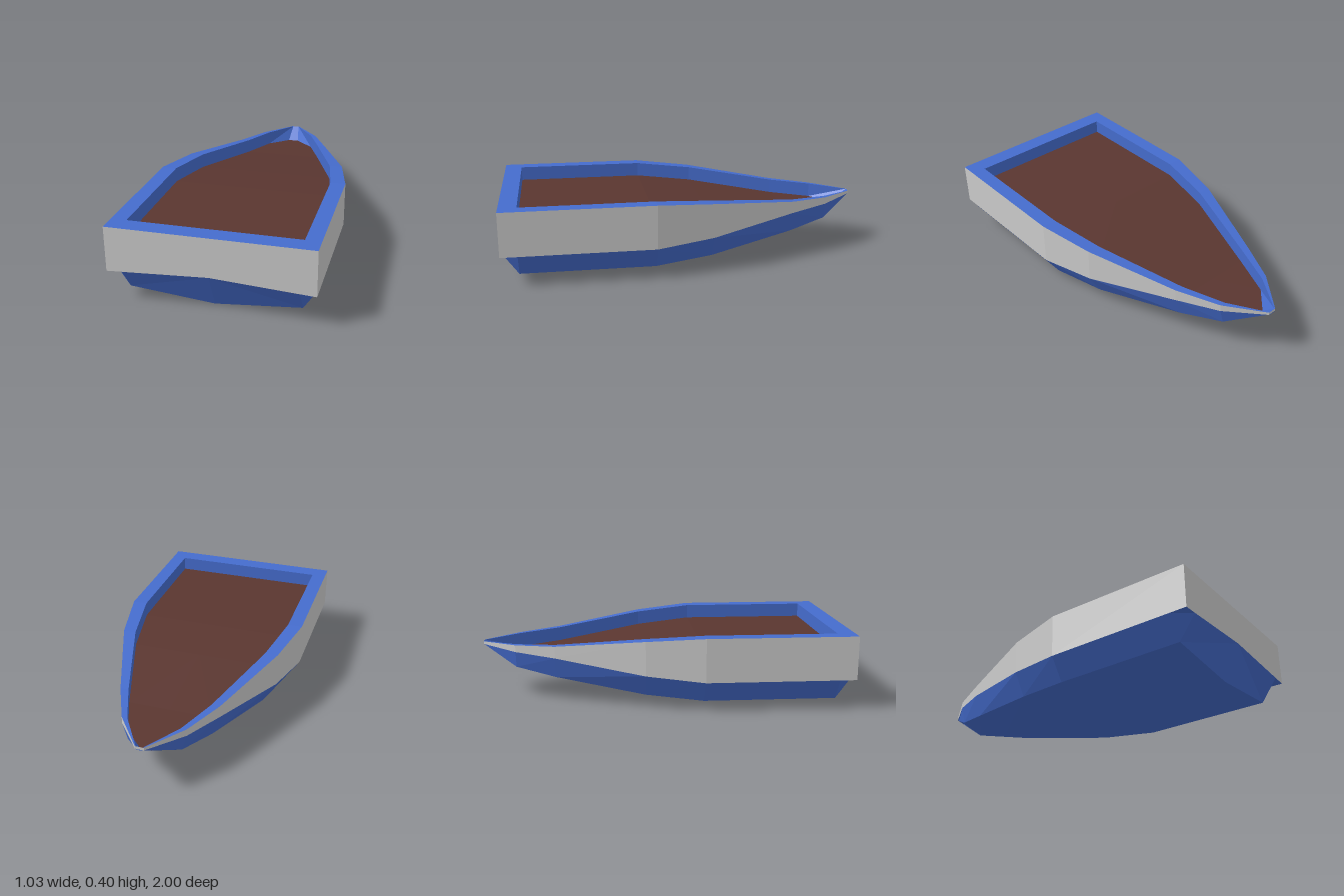
import * as THREE from 'three';

const BLUE = 0x456ccd, BROWN = 0x5a3630, GREY = 0xcccccc;

// Stations from midship to bow:
// [z, half beam, inner half beam, rim y, band bottom y, chine y, keel y]
const STATIONS = [
  [0.2, 0.515, 0.435, 0.395, 0.16, 0.04, 0],
  [-0.11, 0.45, 0.38, 0.37, 0.185, 0.065, 0.03],
  [-0.59, 0.27, 0.225, 0.31, 0.245, 0.13, 0.09],
  [-0.81, 0.17, 0.14, 0.298, 0.26, 0.17, 0.13],
];
const FLOOR_DROP = 0.078;
const along = (fn) => STATIONS.map(([z, w, inner, top, band, chine, keel]) =>
  fn({ z, w, inner, top, band, chine, keel }));

// Skins neighbouring rows of points (stern to bow, +x side) and mirrors them
function skin(name, color, ...rows) {
  const pos = [];
  const tri = (...pts) => {
    const [a, b, c] = pts.map((p) => new THREE.Vector3(...p));
    if (b.clone().sub(a).cross(c.clone().sub(a)).length() < 1e-7) return;
    pos.push(...pts.flat());
    for (const [x, y, z] of [pts[0], pts[2], pts[1]]) pos.push(-x, y, z);
  };
  for (let r = 0; r + 1 < rows.length; r++) {
    const up = rows[r], low = rows[r + 1];
    for (let i = 0; i + 1 < up.length; i++) {
      tri(up[i], low[i], low[i + 1]);
      tri(up[i], low[i + 1], up[i + 1]);
    }
  }
  const geometry = new THREE.BufferGeometry();
  geometry.setAttribute('position', new THREE.Float32BufferAttribute(pos, 3));
  geometry.computeVertexNormals();
  const mesh = new THREE.Mesh(geometry,
    new THREE.MeshStandardMaterial({ color, flatShading: true }));
  mesh.name = name;
  return mesh;
}

export function createModel() {
  const boat = new THREE.Group();
  boat.name = 'boat';

  // Cockpit and rim rows, each starting and ending on the centreline
  const floorY = 0.395 - FLOOR_DROP;
  const floorEdge = [[0, floorY, 0.905], [0.435, floorY, 0.905],
    ...along((s) => [s.inner, s.top - FLOOR_DROP, s.z]),
    [0.03, 0.216, -0.92], [0, 0.216, -0.92]];
  const floorCentre = floorEdge.map(([, y, z]) => [0, y, z]);
  const innerRim = [[0, 0.395, 0.905], [0.435, 0.395, 0.905],
    ...along((s) => [s.inner, s.top, s.z]),
    [0.018, 0.29, -1], [0, 0.29, -1]];
  const outerRim = [[0, 0.395, 1], [0.515, 0.395, 1],
    ...along((s) => [s.w, s.top, s.z]),
    [0.023, 0.29, -1], [0, 0.29, -1]];
  const bandBottom = [[0, 0.19, 1], [0.515, 0.16, 1],
    ...along((s) => [s.w, s.band, s.z]),
    [0.023, 0.275, -1], [0, 0.275, -1]];

  // Lower hull rows, with a cut-in corner under the stern
  const stern = [0.435, 0.164, 1], side = [0.515, 0.16, 0.91];
  const hullTop = [[0, 0.19, 1], stern, side, ...bandBottom.slice(2)];
  const chine = [[0, 0, 0.91], [0.435, 0.04, 0.91], [0.435, 0.04, 0.91],
    ...along((s) => [s.w * 0.845, s.chine, s.z]),
    [0.015, 0.273, -1], [0, 0.27, -1]];
  const keel = [...Array(3).fill([0, 0, 0.91]),
    ...along((s) => [0, s.keel, s.z]),
    [0, 0.27, -1], [0, 0.27, -1]];

  boat.add(
    skin('floor', BROWN, floorCentre, floorEdge),
    skin('innerWall', BLUE, floorEdge, innerRim),
    skin('rim', BLUE, innerRim, outerRim),
    skin('sideBand', GREY, outerRim, bandBottom),
    skin('lowerHull', BLUE, hullTop, chine, keel),
    skin('sternCornerUnderside', BLUE, [[0.515, 0.16, 1], [0.515, 0.16, 1]], [stern, side]),
  );
  return boat;
}
